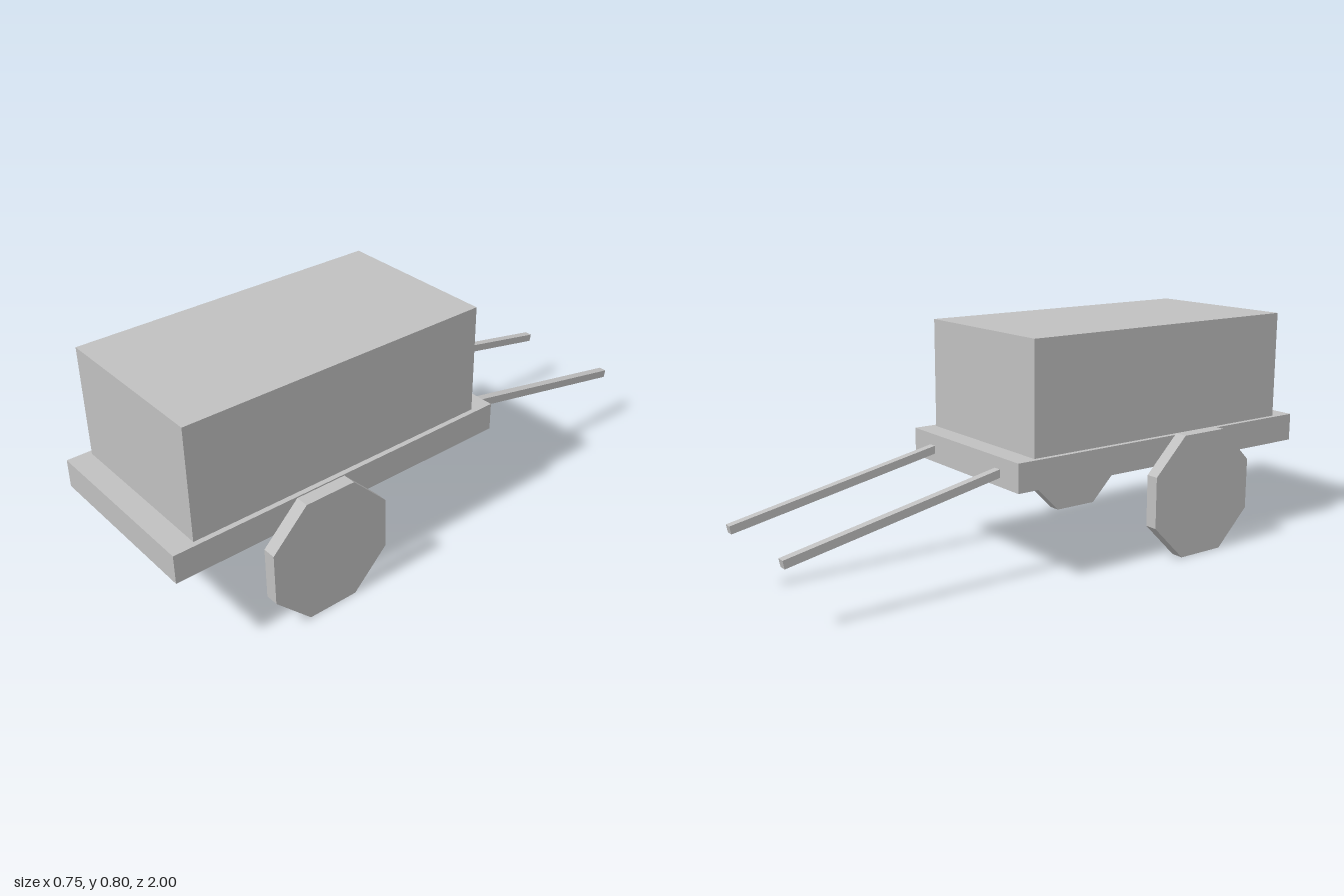
import * as THREE from 'three';

export function createModel() {
  const cart = new THREE.Group();
  cart.name = 'handcart';

  const grey = new THREE.MeshStandardMaterial({ color: 0xc0c0c0 });
  grey.name = 'light grey';
  grey.flatShading = true;

  const add = (name, geometry, x, y, z) => {
    const mesh = new THREE.Mesh(geometry, grey);
    mesh.name = name;
    mesh.position.set(x, y, z);
    cart.add(mesh);
    return mesh;
  };

  // Flat bed and the load box resting on it
  add('bed', new THREE.BoxGeometry(0.622, 0.098, 1.25), 0, 0.374, 0.375);
  add('loadBox', new THREE.BoxGeometry(0.586, 0.381, 1.097), 0, 0.6135, 0.3735);

  // Eight-sided wheels standing on a flat side
  const apothem = 0.2168;
  const wheelRadius = apothem / Math.cos(Math.PI / 8);
  const wheel = new THREE.CylinderGeometry(wheelRadius, wheelRadius, 0.046, 8, 1, false, Math.PI / 8);
  wheel.rotateZ(Math.PI / 2);

  // Pull handles sloping down from the back edge of the bed
  const slope = Math.atan(0.2);
  const length = 0.8;
  const handle = new THREE.BoxGeometry(0.028, 0.0275, length);
  handle.translate(0, 0, length / 2);
  handle.rotateX(-slope);

  for (const [label, side] of [['left', 1], ['right', -1]]) {
    add(label + 'Wheel', wheel, side * 0.351, apothem, 0.492);
    add(label + 'Handle', handle, side * 0.196, 0.2195, -0.9973);
  }

  return cart;
}
